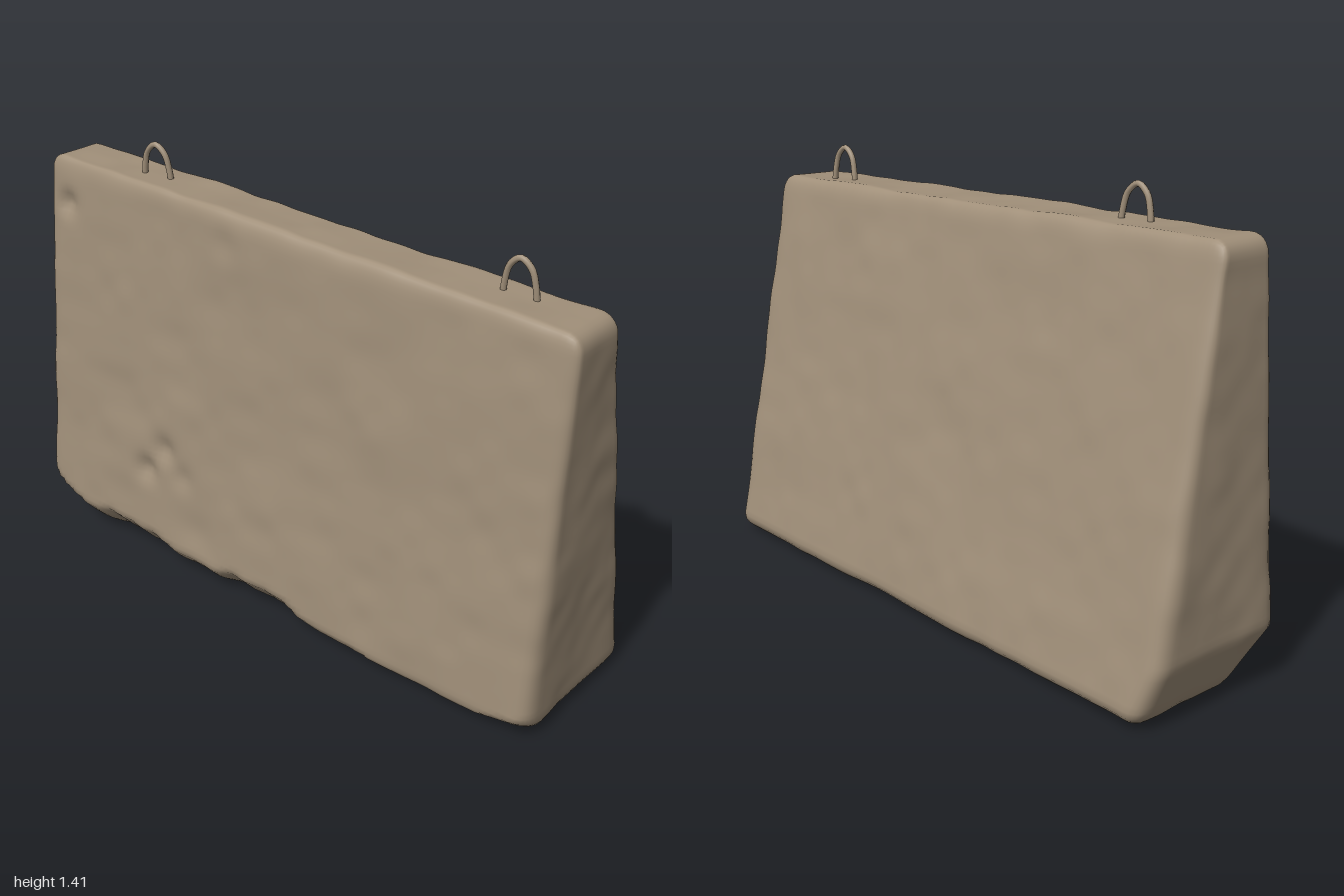
import * as THREE from 'three';
import { mergeVertices } from 'three/addons/utils/BufferGeometryUtils.js';

const concrete = new THREE.MeshStandardMaterial({ color: 0xa08f79 });
concrete.name = 'weathered concrete';

// Smooth value noise from a seeded lattice hash, range -1..1
function hash(i, j, k) {
  const s = Math.sin(i * 127.1 + j * 311.7 + k * 74.7 + 5.3) * 43758.5453;
  return (s - Math.floor(s)) * 2 - 1;
}
function noise(x, y, z) {
  const p = [x, y, z].map(Math.floor);
  const [u, v, w] = [x, y, z].map((c, i) => { const f = c - p[i]; return f * f * (3 - 2 * f); });
  const L = THREE.MathUtils.lerp;
  const row = (j, k) => L(hash(p[0], p[1] + j, p[2] + k), hash(p[0] + 1, p[1] + j, p[2] + k), u);
  return L(L(row(0, 0), row(1, 0), v), L(row(0, 1), row(1, 1), v), w);
}

// Height of the broken-away lower front edge along x
const chipProfile = [[-1, 0.2], [-0.85, 0.12], [-0.62, 0.14], [-0.4, 0.09], [-0.2, 0.1],
  [0, 0.13], [0.15, 0.08], [0.3, 0.06], [0.45, 0.03], [0.8, 0.03], [1, 0.08]];
function chipHeight(x) {
  for (let i = 1; i < chipProfile.length; i++) {
    const [x0, h0] = chipProfile[i - 1], [x1, h1] = chipProfile[i];
    if (x <= x1) return THREE.MathUtils.mapLinear(x, x0, x1, h0, h1);
  }
  return 0.08;
}

// Local dents in the front face: x, y, radius, depth
const dents = [[-0.52, 0.35, 0.06, 0.025], [-0.44, 0.44, 0.06, 0.02], [-0.36, 0.37, 0.06, 0.012],
  [-0.88, 1.17, 0.05, 0.025], [-0.3, 0.2, 0.1, 0.01], [-0.2, 1.2, 0.07, 0.008]];

function createSlab() {
  const H = 1.3, D = 0.5, R = 0.055;
  let geo = new THREE.BoxGeometry(2, H, D, 100, 66, 26);
  geo.deleteAttribute('normal');
  geo.deleteAttribute('uv');
  geo = mergeVertices(geo);
  const pos = geo.attributes.position;
  const p = new THREE.Vector3(), core = new THREE.Vector3(), n = new THREE.Vector3();
  const limit = new THREE.Vector3(1 - R, H / 2 - R, D / 2 - R);
  const low = limit.clone().negate();
  for (let i = 0; i < pos.count; i++) {
    // Round the edges
    p.fromBufferAttribute(pos, i);
    core.copy(p).clamp(low, limit);
    n.copy(p).sub(core).normalize();
    p.copy(core).addScaledVector(n, R);

    // Taper the section and slope the top
    const t = p.y / H + 0.5;
    let x = p.x * (p.x < 0 ? 1 - 0.045 * t : 0.975 + 0.015 * t);
    let y = 0.012 + t * (1.276 - 0.038 * x);
    const front = 0.276 - 0.074 * y, back = -0.286 + 0.212 * y;
    const s = p.z / D + 0.5;
    let z = THREE.MathUtils.lerp(back, front, s);

    // Worn lower edges
    const chip = Math.max(0, chipHeight(x) - y + 0.015 * noise(x * 14, 3, 1));
    z -= chip * 0.95 * s * s;
    if (x < 0) x += Math.max(0, 0.2 - y) * 0.36 * x * x;
    if (s < 0.5) z += Math.max(0, 0.06 - y) * 0.5 * (1 - 2 * s);

    // Dents
    if (n.z > 0.5) for (const [dx, dy, r, depth] of dents) {
      z -= depth * Math.exp(-((x - dx) ** 2 + (y - dy) ** 2) / (r * r * 0.5));
    }

    // Uneven surface
    const bump = 0.005 * noise(x * 5, y * 5, z * 5) + 0.0025 * noise(x * 13, y * 13, z * 13);
    pos.setXYZ(i, x + n.x * bump, Math.max(0, y + n.y * bump), z + n.z * bump);
  }
  geo.computeVertexNormals();
  const slab = new THREE.Mesh(geo, concrete);
  slab.name = 'barrierSlab';
  return slab;
}

// Wire lifting loop set into the top
function createLoop(name, x, y, z, turn) {
  const path = new THREE.CatmullRomCurve3([
    [-0.052, -0.03], [-0.046, 0.03], [-0.032, 0.078], [0, 0.103],
    [0.032, 0.078], [0.046, 0.03], [0.052, -0.03],
  ].map(([px, py]) => new THREE.Vector3(px, py, py * 0.05)));
  const loop = new THREE.Mesh(new THREE.TubeGeometry(path, 32, 0.0095, 8), concrete);
  loop.name = name;
  loop.position.set(x, y, z);
  loop.rotation.y = turn;
  return loop;
}

export function createModel() {
  const model = new THREE.Group();
  model.name = 'concreteBarrier';
  model.add(
    createSlab(),
    createLoop('rightLiftingLoop', -0.56, 1.305, 0.09, 0.12),
    createLoop('leftLiftingLoop', 0.735, 1.26, 0.06, 0.07),
  );
  return model;
}
